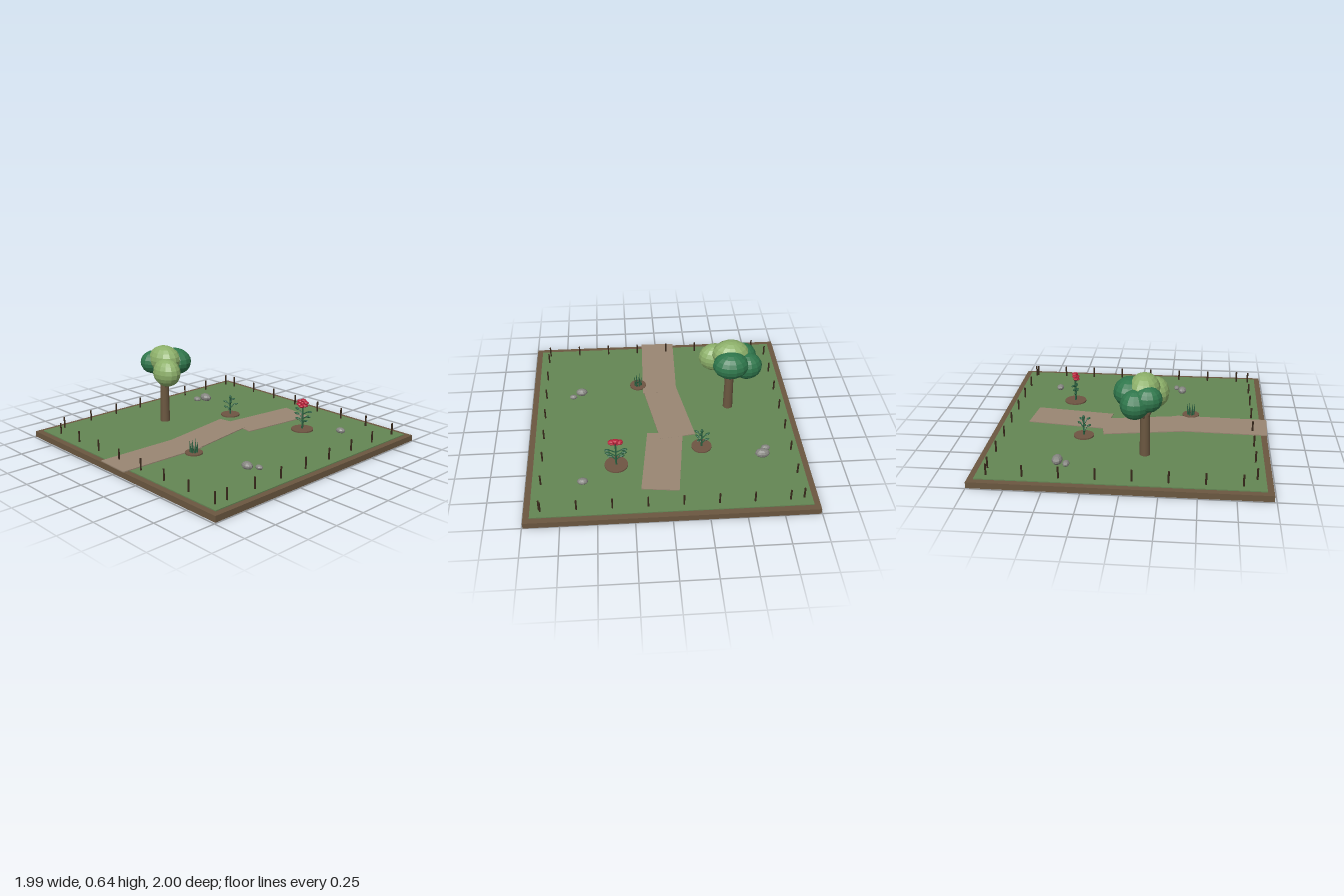
import * as THREE from 'three';

const mat = (name, color, flatShading = false) => {
  const m = new THREE.MeshStandardMaterial({ color, flatShading });
  m.name = name;
  return m;
};

export function createModel() {
  const wood = mat('wood brown', 0x6b5740);
  const soil = mat('soil brown', 0x6e5542);
  const post = mat('dark stake', 0x3a2a1c);
  const lawn = mat('lawn green', 0x648654);
  const sand = mat('path tan', 0x998673);
  const light = mat('light foliage', 0x8db06a, true);
  const dark = mat('dark foliage', 0x2f774c, true);
  const leafGreen = mat('plant green', 0x2b6040, true);
  const red = mat('petal red', 0xb8213a, true);
  const grey = mat('stone grey', 0x858580, true);

  const model = new THREE.Group();
  model.name = 'garden';

  const add = (parent, name, geo, material, x, y, z) => {
    const m = new THREE.Mesh(geo, material);
    m.name = name;
    m.position.set(x, y, z);
    parent.add(m);
    return m;
  };
  const group = (name, x, y, z) => {
    const g = new THREE.Group();
    g.name = name;
    g.position.set(x, y, z);
    model.add(g);
    return g;
  };
  const blob = (parent, name, material, x, y, z, rx, ry, rz, w = 14, h = 10) => {
    const m = add(parent, name, new THREE.SphereGeometry(1, w, h), material, x, y, z);
    m.scale.set(rx, ry, rz);
    return m;
  };
  // Tapered rod between two points
  const rod = (parent, name, material, a, b, r0, r1, sides = 6) => {
    const p = new THREE.Vector3(...a), q = new THREE.Vector3(...b);
    const d = q.clone().sub(p);
    const m = add(parent, name, new THREE.CylinderGeometry(r1, r0, d.length(), sides), material, 0, 0, 0);
    m.position.copy(p).add(q).multiplyScalar(0.5);
    m.quaternion.setFromUnitVectors(new THREE.Vector3(0, 1, 0), d.normalize());
    return m;
  };

  // Ground
  add(model, 'baseFrame', new THREE.BoxGeometry(1.986, 0.043, 1.986), wood, 0, 0.0215, -0.007);
  add(model, 'lawn', new THREE.BoxGeometry(1.9, 0.02, 1.9), lawn, 0, 0.04, -0.007);

  // Path slabs: x, z, length, turn
  [[0.035, -0.465, 0.585, -0.12], [-0.045, 0.075, 0.585, 0.165], [-0.003, 0.655, 0.675, -0.03]]
    .forEach(([x, z, len, turn], i) => {
      add(model, 'pathSlab', new THREE.BoxGeometry(0.262, 0.007, len), sand, x, 0.0525 + i * 0.0004, z)
        .rotation.y = turn;
    });

  // Border stakes
  const stakeGeo = new THREE.CylinderGeometry(0.0065, 0.0065, 0.085, 6);
  const stake = (x, z) => add(model, 'borderStake', stakeGeo, post, x, 0.0895, z);
  for (let i = 0; i < 8; i++) {
    for (const z of [-0.9, 0.885]) stake(-0.8 + i * 0.24, z);
    for (const x of [-0.895, 0.888]) stake(x, -0.887 + i * 0.24);
  }

  // Tree
  const tree = group('tree', -0.505, 0.05, 0.13);
  rod(tree, 'trunk', wood, [0, 0, 0], [0, 0.38, 0], 0.037, 0.031, 12);
  [[-0.07, -0.02], [0.07, 0.03], [0.01, -0.07], [-0.03, 0.05]].forEach(([x, z]) =>
    rod(tree, 'branch', wood, [0, 0.25, 0], [x, 0.36, z], 0.013, 0.009));
  blob(tree, 'crownTop', light, 0, 0.49, -0.005, 0.138, 0.105, 0.107);
  blob(tree, 'crownRight', light, 0.11, 0.42, 0.065, 0.118, 0.105, 0.093);
  blob(tree, 'crownLeft', dark, -0.115, 0.42, -0.06, 0.112, 0.1, 0.1);
  blob(tree, 'crownFront', dark, -0.103, 0.455, 0.025, 0.09, 0.088, 0.098);
  blob(tree, 'crownBack', dark, 0.01, 0.46, -0.105, 0.132, 0.1, 0.11);

  // Soil mounds under plants
  const bed = (name, x, z, r) => {
    const g = group(name, x, 0.05, z);
    add(g, 'soilBed', new THREE.CylinderGeometry(r, r, 0.012, 24), soil, 0, 0.004, 0);
    return g;
  };
  // Twig ending in a flat leaf, pointing out at a given heading
  const leaf = (g, y, reach, heading, size) => {
    const c = Math.cos(heading), s = Math.sin(heading);
    rod(g, 'twig', leafGreen, [0, y - 0.03, 0], [c * reach * 0.75, y, s * reach * 0.75], 0.005, 0.004, 5);
    blob(g, 'leaf', leafGreen, c * reach, y, s * reach, size, size * 0.32, size * 0.5, 8, 6)
      .rotation.set(0, -heading, 0.15);
  };

  // Leafy seedling
  const seedling = bed('seedling', -0.255, -0.33, 0.073);
  rod(seedling, 'stem', leafGreen, [0, 0, 0], [0, 0.145, 0], 0.007, 0.005);
  [[0.06, 0.04, 2.9], [0.07, 0.042, 0.9], [0.09, 0.042, -0.9], [0.105, 0.045, 2.8],
    [0.12, 0.045, 0.7], [0.13, 0.02, -1.0]].forEach(([y, r, a]) => leaf(seedling, y, r, a, 0.02));
  blob(seedling, 'topBud', leafGreen, 0, 0.145, 0, 0.01, 0.018, 0.01, 8, 6);

  // Red flower
  const flower = bed('flower', 0.365, -0.485, 0.083);
  rod(flower, 'stem', leafGreen, [0, 0, 0], [0, 0.205, 0], 0.008, 0.006);
  [[0.08, 0.04], [0.115, 0.055], [0.15, 0.06]].forEach(([y, r], i) => {
    leaf(flower, y, r, 0.15 + i * -0.15, 0.024);
    leaf(flower, y, r, Math.PI - 0.15 + i * 0.15, 0.024);
  });
  for (let i = 0; i < 6; i++) {
    const a = i * Math.PI / 3 + Math.PI / 6;
    blob(flower, 'petal', red, Math.cos(a) * 0.032, 0.208 + Math.sin(a) * 0.021,
      0.005 - Math.sin(a) * 0.01, 0.025, 0.011, 0.02, 10, 6);
  }
  blob(flower, 'flowerHeart', red, 0, 0.208, 0.005, 0.018, 0.016, 0.014, 8, 6);

  // Grass tuft
  const tuft = bed('grassTuft', 0.172, 0.43, 0.063);
  for (let i = 0; i < 8; i++) {
    const a = i * Math.PI / 4 + 0.4, c = Math.cos(a), s = Math.sin(a);
    rod(tuft, 'blade', leafGreen, [c * 0.022, 0, s * 0.022],
      [c * 0.031, 0.075 + (i % 3) * 0.011, s * 0.031], 0.009, 0.001, 5);
  }

  // Stones: x, z, half width, half height, half depth
  [[-0.68, -0.45, 0.053, 0.033, 0.037], [-0.713, -0.385, 0.034, 0.02, 0.024],
    [0.6, -0.648, 0.038, 0.022, 0.028], [0.617, 0.35, 0.044, 0.028, 0.033],
    [0.681, 0.302, 0.029, 0.017, 0.021]].forEach(([x, z, rx, ry, rz]) =>
    blob(model, 'stone', grey, x, 0.05 + ry * 0.65, z, rx, ry, rz, 10, 7));

  return model;
}
